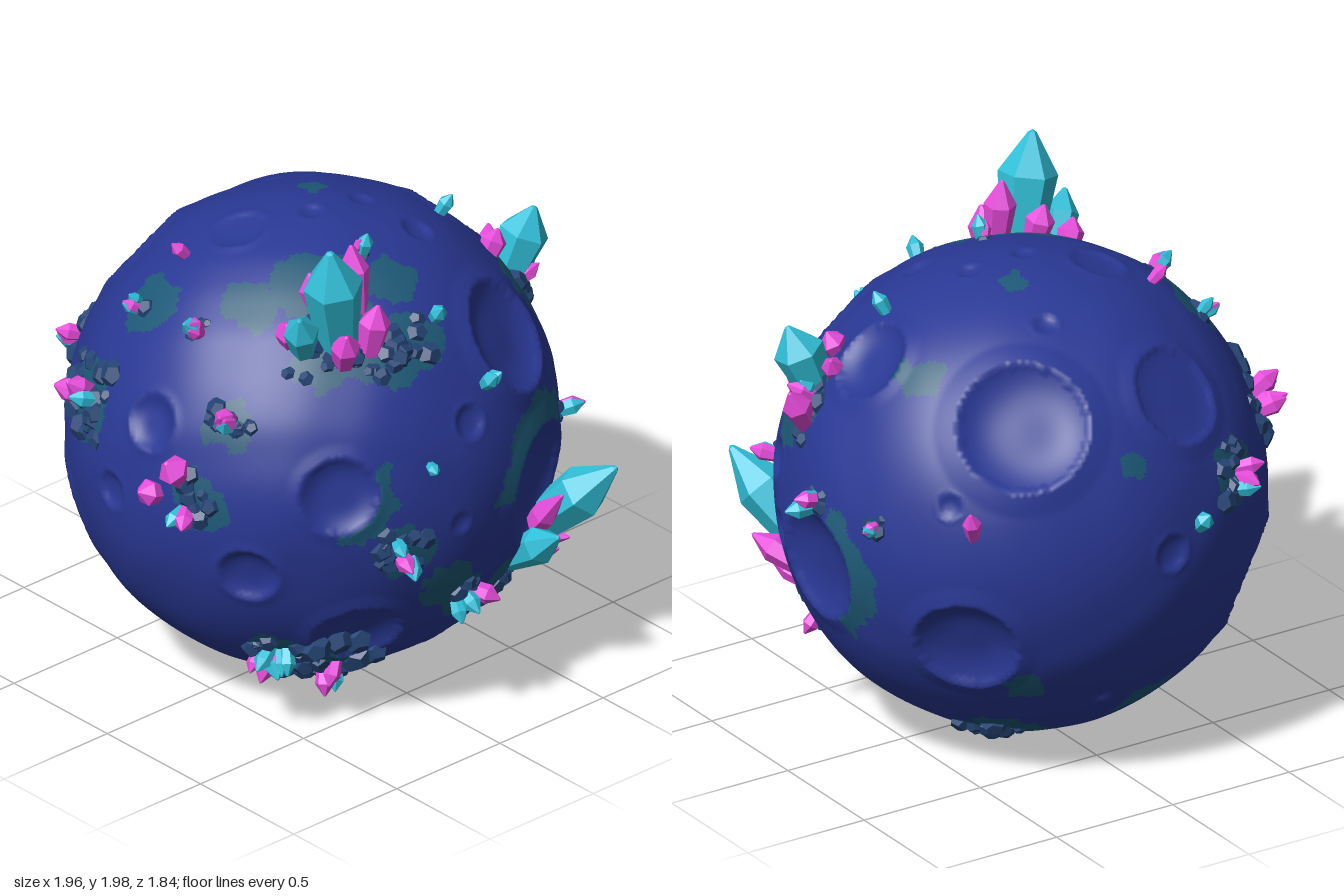
import * as THREE from 'three';
import { mergeVertices } from 'three/addons/utils/BufferGeometryUtils.js';

const R = 0.895;
const FRONT = 1, BACK = -1;
const mat = (name, color) => Object.assign(new THREE.MeshStandardMaterial({ color }), { name });

// Point of the plain sphere at x, y on its front or back half
const onSphere = (x, y, side) =>
  new THREE.Vector3(x, y, side * Math.sqrt(Math.max(0, R * R - x * x - y * y))).setLength(R);
const spots = (side, rows) => rows.map(([x, y, r]) => ({ p: onSphere(x, y, side), r }));

// Craters: x, y, radius
const CRATERS = [
  ...spots(FRONT, [
    [0.38, 0.49, 0.21], [0.42, -0.09, 0.225], [-0.51, 0.17, 0.14], [-0.37, -0.48, 0.165],
    [-0.74, -0.17, 0.11], [0.03, 0.33, 0.065], [0.09, -0.655, 0.065], [-0.07, -0.03, 0.042],
    [0.79, 0.145, 0.075], [0.84, -0.085, 0.07], [0.63, 0.635, 0.15], [-0.83, 0.33, 0.1],
    [-0.03, 0.894, 0.045], [0.19, 0.873, 0.045], [0.26, 0.81, 0.06], [0.64, -0.59, 0.06],
  ]),
  ...spots(BACK, [
    [0.89, -0.1, 0.2], [0.62, -0.28, 0.19], [0.38, 0.55, 0.235], [-0.64, -0.31, 0.2],
    [-0.08, 0.04, 0.07], [-0.89, 0.01, 0.07], [0.13, 0.81, 0.045], [0.66, 0.28, 0.045],
    [0.11, -0.55, 0.045], [0.28, -0.83, 0.055],
  ]),
].map((c) => ({ ...c, d: 0.29 * c.r }));
// Two worn, shallow craters
CRATERS.push(...spots(BACK, [[-0.24, 0.55, 0.18], [-0.26, 0.85, 0.1]]).map((c) => ({ ...c, d: 0.12 * c.r })));

// Rock piles with small shards: x, y, spread, shard colours (c cyan, m magenta)
const piles = (side, rows) => rows.map(([x, y, spread, shards]) => ({ p: onSphere(x, y, side), spread, shards }));
const PILES = [
  ...piles(FRONT, [
    [-0.1, 0.62, 0.1, ''], [-0.22, 0.6, 0.09, ''], [-0.4, 0.62, 0.1, 'm'],
    [0.34, -0.52, 0.1, ''], [0.48, -0.5, 0.12, ''], [0.63, -0.5, 0.09, 'm'],
    [0.74, 0.42, 0.11, 'mcmm'], [-0.33, -0.68, 0.15, 'cmm'], [-0.54, -0.59, 0.1, 'cmcmcmcm'],
    [-0.31, -0.08, 0.09, 'cmc'], [0.02, -0.4, 0.07, 'ccmm'], [-0.72, 0.4, 0.08, 'mcmc'],
    [-0.84, 0.1, 0.09, 'mc'], [0.2, -0.84, 0.1, ''], [0.15, 0.42, 0.01, 'cc'],
    [0.05, 0.66, 0, 'c'], [-0.03, 0.84, 0.02, 'cm'], [-0.18, 0.23, 0, 'c'],
    [0.66, 0.04, 0.03, 'mc'], [0.89, 0.15, 0.04, 'cmc'], [-0.62, 0.64, 0.03, 'mmc'], [0.48, 0.74, 0, 'c'],
  ]),
  ...piles(BACK, [
    [-0.45, 0.22, 0.1, 'mmc'], [-0.79, 0.24, 0.14, 'mcmmm'], [0.3, -0.8, 0.1, ''], [0.83, 0.16, 0.04, 'mcm'],
    [-0.43, 0.76, 0, 'm'], [-0.62, 0.6, 0.04, 'ccm'],
  ]),
];

// Mossy ground lies under every pile and in some open places: x, y, radius
const PATCHES = [
  ...PILES.filter((c) => c.spread > 0.04).map((c) => ({ p: c.p, r: 0.02 + c.spread })),
  ...spots(FRONT, [
    [-0.47, 0.735, 0.11], [-0.32, 0.79, 0.12], [-0.17, 0.8, 0.11], [-0.02, 0.77, 0.09], [-0.28, 0.7, 0.14],
    [0.7, 0.45, 0.16], [0.76, 0.3, 0.1], [-0.1, -0.3, 0.11], [0.24, -0.43, 0.1], [0.28, -0.83, 0.12],
  ]),
  ...spots(BACK, [
    [-0.6, 0.63, 0.12], [0.58, 0.64, 0.09], [0.41, -0.46, 0.07], [-0.15, -0.66, 0.11],
    [0.11, 0.88, 0.05], [0.3, -0.78, 0.18], [0.02, 0.4, 0.06],
  ]),
];

// Moss crescents around large craters, each on the side facing a point
const CRESCENTS = [
  [0.42, -0.09, FRONT, 0.25, 0.4, FRONT], [-0.51, 0.17, FRONT, -0.3, 0.02, FRONT], [0.89, -0.1, BACK, 0.8, -0.05, BACK],
].map(([x, y, s, tx, ty, ts]) => {
  const crater = CRATERS.find((c) => c.p.equals(onSphere(x, y, s)));
  return { ...crater, to: onSphere(tx, ty, ts).sub(crater.p).normalize() };
});

const wobble = (p, f) => Math.sin(p.x * f + 1.3) * Math.sin(p.y * f * 1.1 + 0.4) * Math.sin(p.z * f * 0.9 + 2.1)
  + 0.5 * Math.sin(p.x * f * 2.3 + p.y * f) * Math.sin(p.z * f * 2.1 - p.y * f * 1.7);

// Ground height at a point of the plain sphere: sharp-edged bowls with soft rims
function height(p) {
  let h = 0.006 * wobble(p, 5) + 0.002 * wobble(p, 9) - 0.014 * (p.z / R) ** 2;
  for (const c of CRATERS) {
    const t = p.distanceTo(c.p) / c.r;
    if (t < 1) h -= c.d * (1 - t ** 3.2);
    else if (t < 1.4) h += 0.14 * c.r * (1.4 - t);
  }
  return h;
}

function isMossy(p) {
  if (CRATERS.some((c) => c.r > 0.1 && p.distanceTo(c.p) < c.r)) return false;
  const n = 0.035 * wobble(p, 15) + 0.02 * wobble(p, 37);
  if (PATCHES.some((c) => p.distanceTo(c.p) < c.r + n)) return true;
  return CRESCENTS.some((c) => {
    const off = p.clone().sub(c.p), d = off.length();
    return d > c.r * 1.06 && d < c.r * 1.5 + n && off.dot(c.to) > 0.45 * d;
  });
}

function planetGeometry() {
  let g = new THREE.IcosahedronGeometry(R, 68);
  g.deleteAttribute('uv');
  g.deleteAttribute('normal');
  g = mergeVertices(g, 1e-5);
  const pos = g.attributes.position, index = g.index.array;
  const plain = [], p = new THREE.Vector3();
  for (let i = 0; i < pos.count; i++) {
    p.fromBufferAttribute(pos, i);
    plain.push(p.clone());
    p.setLength(R + height(p));
    pos.setXYZ(i, p.x, p.y, p.z);
  }
  // Sort the faces into bare and mossy ground
  const faces = [[], []];
  for (let i = 0; i < index.length; i += 3) {
    const [a, b, c] = index.slice(i, i + 3);
    p.copy(plain[a]).add(plain[b]).add(plain[c]).setLength(R);
    faces[isMossy(p) ? 1 : 0].push(a, b, c);
  }
  g.setIndex(faces[0].concat(faces[1]));
  g.addGroup(0, faces[0].length, 0);
  g.addGroup(faces[0].length, faces[1].length, 1);
  g.computeVertexNormals();
  return g;
}

export function createModel() {
  const model = new THREE.Group();
  model.name = 'crystalPlanet';
  const ground = mat('deep blue ground', 0x293894), moss = mat('teal ground', 0x1d5876);
  const stone = mat('slate blue rock', 0x244474);
  const cyan = mat('cyan crystal', 0x31bfd8), magenta = mat('magenta crystal', 0xee4ee2);

  // Everything is placed around the planet's centre
  const body = new THREE.Group();
  body.name = 'body';
  body.position.set(0.01, 0.92, -0.02);
  model.add(body);

  const UP = new THREE.Vector3(0, 1, 0);
  function add(name, geometry, material, at, axis, sx, sy, sz) {
    const m = new THREE.Mesh(geometry, material);
    m.name = name;
    m.position.copy(at);
    m.scale.set(sx, sy, sz);
    m.quaternion.setFromUnitVectors(UP, axis.clone().normalize());
    body.add(m);
  }
  add('planet', planetGeometry(), [ground, moss], new THREE.Vector3(), UP, 1, 1, 1);

  // Six-sided crystal: narrow foot, wide shoulder, blunt tip
  const crystalGeo = new THREE.LatheGeometry(
    [[0.65, 0], [1, 0.66], [0.14, 0.98], [0, 1]].map(([x, y]) => new THREE.Vector2(x, y)), 6).toNonIndexed();
  crystalGeo.computeVertexNormals();
  const rockGeo = new THREE.DodecahedronGeometry(1, 0);

  function crystal(name, material, foot, tip, r) {
    const axis = tip.clone().sub(foot);
    add(name, crystalGeo, material, foot, axis, r, axis.length(), r);
  }

  // Large crystals: foot x, y on the front half, then tip x, y, z and radius
  const large = (material, rows) => {
    for (const [fx, fy, x, y, z, r] of rows)
      crystal('largeCrystal', material, onSphere(fx, fy, FRONT).multiplyScalar(0.95), new THREE.Vector3(x, y, z), r);
  };
  large(cyan, [
    [-0.33, 0.65, -0.41, 1.08, 0.55, 0.11], [-0.44, 0.64, -0.53, 0.83, 0.52, 0.065],
    [0.5, -0.45, 0.65, -0.05, 0.92, 0.1], [0.38, -0.47, 0.35, -0.22, 0.94, 0.07],
    [0.73, 0.44, 0.81, 0.71, 0.3, 0.095],
  ]);
  large(magenta, [
    [-0.2, 0.73, -0.2, 0.98, 0.43, 0.06], [-0.25, 0.62, -0.22, 0.81, 0.6, 0.06],
    [-0.35, 0.6, -0.39, 0.75, 0.62, 0.055], [-0.46, 0.66, -0.5, 0.76, 0.42, 0.05],
    [-0.31, 0.74, -0.33, 0.88, 0.35, 0.055], [0.45, -0.47, 0.45, -0.12, 0.85, 0.05],
    [0.45, -0.52, 0.44, -0.34, 0.84, 0.045], [0.6, -0.43, 0.7, -0.3, 0.7, 0.055],
    [0.57, -0.5, 0.62, -0.42, 0.7, 0.04], [0.8, 0.33, 0.88, 0.51, 0.18, 0.055],
    [0.63, 0.57, 0.66, 0.66, 0.27, 0.05], [0.69, 0.52, 0.72, 0.61, 0.15, 0.04],
    [-0.85, 0.15, -0.91, 0.26, 0.22, 0.06], [-0.88, 0.08, -0.96, 0.12, 0.13, 0.05],
  ]);
  // Lone crystals on the back half
  for (const [material, x, y, lift] of [[magenta, 0.62, 0.16, 0.13], [cyan, -0.22, 0.09, 0.07]]) {
    const foot = onSphere(x, y, BACK).multiplyScalar(0.96);
    crystal('loneCrystal', material, foot, foot.clone().multiplyScalar(1.08).setY(y + lift), 0.035);
  }

  // Seeded scatter around a place on the ground
  let seed = 7;
  const rnd = () => (seed = (seed * 16807) % 2147483647) / 2147483647;
  const jitter = (s) => new THREE.Vector3(rnd() - 0.5, rnd() - 0.5, rnd() - 0.5).multiplyScalar(2 * s);
  function near(place, spread) {
    const p = place.clone().add(jitter(spread)).setLength(R);
    return p.setLength(R + height(p));
  }

  for (const { p, spread, shards } of PILES) {
    for (let i = 0; i < Math.round(120 * spread); i++) {
      const at = near(p, spread), s = (0.03 + 0.16 * spread) * (0.6 + 0.6 * rnd());
      const tilt = at.clone().normalize().add(jitter(0.4));
      add('rock', rockGeo, stone, at.multiplyScalar(0.99), tilt, s, s * 0.85, s * 0.9);
    }
    for (const letter of shards) {
      const at = near(p, spread * 0.6), s = (0.08 + 0.2 * spread) * (0.8 + 0.4 * rnd());
      const out = at.clone().normalize().add(jitter(0.3)).setLength(s);
      crystal('shard', letter === 'm' ? magenta : cyan,
        at.clone().addScaledVector(out, -0.3), at.clone().add(out), s * 0.34);
    }
  }

  return model;
}
